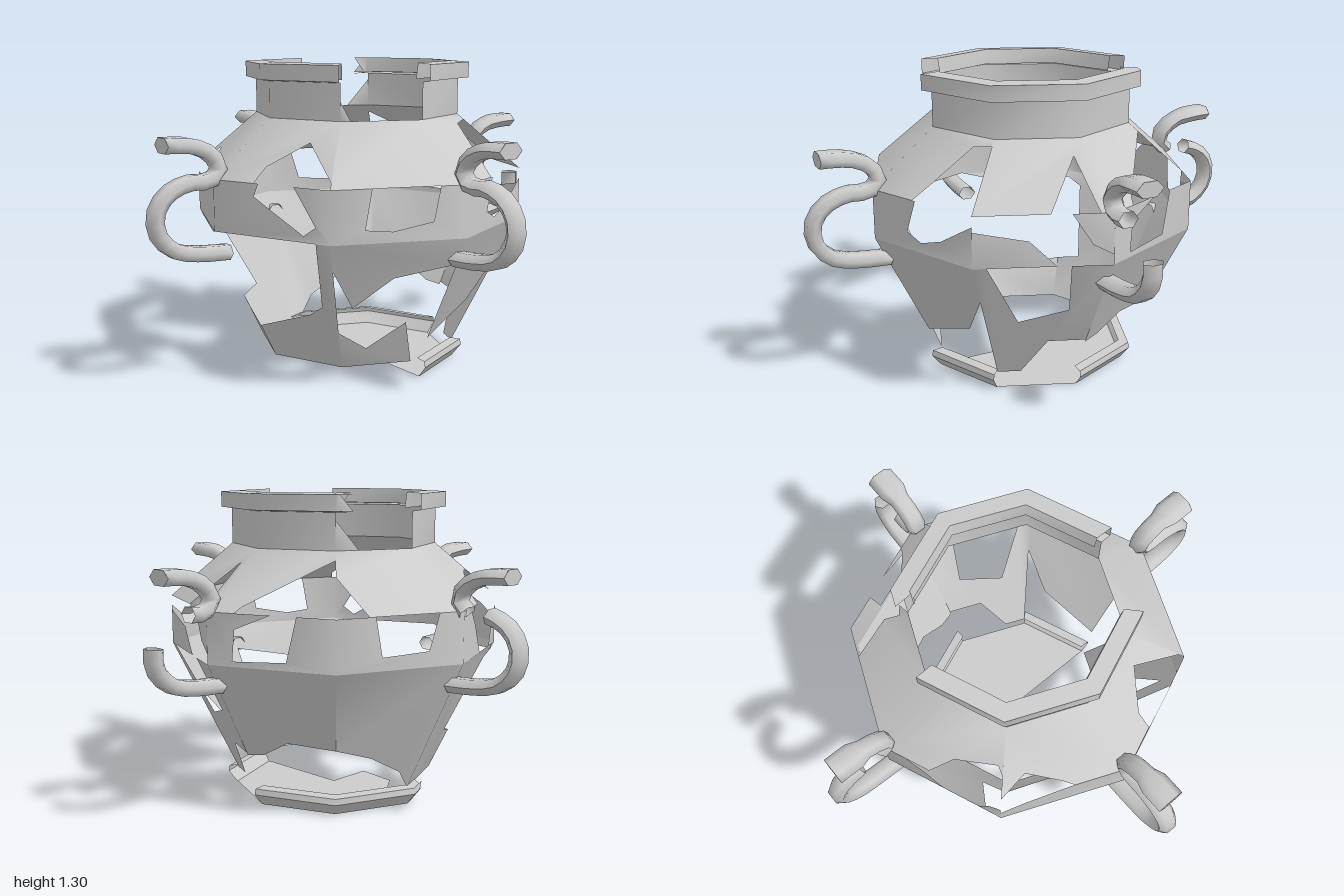
import * as THREE from 'three';
import { mergeVertices } from 'three/addons/utils/BufferGeometryUtils.js';

const material = new THREE.MeshStandardMaterial({ color: 0xcccccc, side: THREE.DoubleSide });
const FULL = [[0, 0, 1, 0, 1, 1, 0, 1]];

// Point on an eight-sided ring; u counts corners from the front (+z) towards +x.
function ringPoint(u, r, y) {
  const k = Math.floor(u), s = u - k;
  const a = (k * Math.PI) / 4, b = ((k + 1) * Math.PI) / 4;
  return [
    r * (Math.sin(a) * (1 - s) + Math.sin(b) * s), y,
    r * (Math.cos(a) * (1 - s) + Math.cos(b) * s)];
}

// A band between two rings. facets[k] lists the surviving pieces of facet k,
// each an outline of (across, up) pairs from 0 to 1.
function band(name, [r0, y0], [r1, y1], facets) {
  const pos = [], index = [];
  facets.forEach((pieces, k) => pieces.forEach((flat) => {
    const pts = [];
    for (let i = 0; i < flat.length; i += 2) pts.push(new THREE.Vector2(flat[i], flat[i + 1]));
    const base = pos.length / 3;
    for (const p of pts) {
      const u = k + Math.min(p.x, 0.99999);
      pos.push(...ringPoint(u, r0 + (r1 - r0) * p.y, y0 + (y1 - y0) * p.y));
    }
    for (const f of THREE.ShapeUtils.triangulateShape(pts, [])) index.push(...f.map((i) => i + base));
  }));
  let g = new THREE.BufferGeometry();
  g.setAttribute('position', new THREE.Float32BufferAttribute(pos, 3));
  g.setIndex(index);
  g = mergeVertices(g, 1e-4);
  g.computeVertexNormals();
  const mesh = new THREE.Mesh(g, material);
  mesh.name = name;
  return mesh;
}

// Broken outlines of the three belly bands, facet by facet
const lower = [
  [[0, 0, 1, 0, 1, 1, 0.88, 1, 0.85, 0.5, 0.7, 0.42, 0, 0.25]],
  [[0, 0, 0.9, 0, 0.7, 0.35, 0.3, 0.15, 0, 0.3],
    [0, 1, 0, 0.8, 0.15, 0.5, 0.5, 0.72, 1, 0.8, 1, 1]],
  [[0, 0.2, 0.75, 0.38, 1, 0.7, 1, 1, 0, 1]],
  [[0, 0, 0.3, 0, 0.6, 0.3, 1, 0.3, 1, 1, 0.7, 1, 0.75, 0.6, 0.3, 0.5, 0.1, 1, 0, 1]],
  [[0, 0.28, 0.2, 0.3, 0.5, 0.42, 1, 0.4, 1, 1, 0, 1]],
  [[0, 0.4, 0.4, 0.3, 0.8, 0.15, 1, 0, 1, 1, 0, 1]],
  [[0, 0, 1, 0, 1, 0.3, 0.7, 0.35, 0.85, 0.9, 1, 0.95, 1, 1, 0, 1]],
  [[0, 0, 1, 0, 1, 0.25, 0.2, 0.28, 0, 0.3], [0, 1, 0, 0.95, 0.6, 0.92, 1, 1]],
];
const middle = [
  [[0, 0, 1, 0, 1, 1, 0.7, 1, 0.88, 0.3, 0.78, 0.12, 0.36, 0.75, 0.4, 1, 0, 1]],
  [[0, 0, 1, 0, 1, 1, 0.8, 1, 0.75, 0.35, 0.45, 0.2, 0.25, 0.25, 0.3, 1, 0, 1]],
  [[0, 0, 1, 0, 1, 0.8, 0.7, 0.35, 0.5, 0.2, 0.36, 0.35, 0.45, 1, 0, 1]],
  [[0, 0, 0.6, 0, 0.4, 0.5, 0, 0.7], [0.7, 1, 0.85, 0.4, 1, 0.2, 1, 1]],
  [[0, 0, 1, 0, 1, 1, 0.7, 1, 0.62, 0.15, 0.2, 0.1, 0.22, 0.7, 0.5, 1, 0, 1]],
  [[0, 0, 1, 0, 1, 1, 0.8, 1, 0.72, 0.3, 0.35, 0.25, 0.3, 1, 0, 1]],
  [[0, 0, 0.5, 0, 0.35, 0.6, 0.2, 1, 0, 1], [0.8, 0, 1, 0, 1, 0.8, 0.9, 0.6]],
  [[0, 0, 1, 0, 1, 1, 0.55, 1, 0.2, 0.75, 0, 0.5]],
];
const shoulder = [
  [[0, 0, 0.36, 0, 0.38, 0.25, 0.7, 0.65, 1, 0.1, 1, 1, 0, 1]],
  FULL,
  [[0, 0, 0.42, 0, 0.5, 0.25, 0.75, 0.85, 1, 0.9, 1, 1, 0, 1]],
  [[0, 0, 0.55, 0, 0.85, 0.75, 0.9, 0, 1, 0, 1, 1, 0, 1]],
  [[0, 0, 0.22, 0, 0.25, 0.1, 1, 0.85, 1, 1, 0, 1]],
  [[0, 0.6, 0.25, 0, 1, 0, 1, 1, 0, 1]],
  [[0, 0, 0.4, 0, 0.55, 0.3, 0.95, 0.5, 1, 0.4, 1, 1, 0, 1]],
  [[0, 0.1, 0.2, 0.35, 0.5, 0.1, 0.58, 0, 1, 0, 1, 1, 0, 1]],
];

// S-shaped handle in the xy plane: curled tip, pinch at the shoulder, loop to the belly
const handlePath = new THREE.CatmullRomCurve3([
  [0.93, 1.0], [0.83, 0.995], [0.74, 0.965], [0.685, 0.9], [0.72, 0.85], [0.83, 0.845],
  [0.92, 0.805], [0.965, 0.735], [0.955, 0.65], [0.89, 0.585], [0.79, 0.56], [0.65, 0.55],
].map(([x, y]) => new THREE.Vector3(x, y, 0)));

function handlePiece(from, to) {
  const pts = [], n = Math.max(4, Math.round((to - from) * 22));
  for (let i = 0; i <= n; i++) pts.push(handlePath.getPointAt(from + ((to - from) * i) / n));
  const g = new THREE.TubeGeometry(new THREE.CatmullRomCurve3(pts), n, 0.035, 6);
  // Widen the curled tip
  const p = g.attributes.position;
  for (let i = 0; i < p.count; i++) {
    const wide = p.getY(i) > 0.95 && p.getX(i) > 0.8;
    p.setZ(i, p.getZ(i) * (wide ? 1.7 : 1.25));
  }
  g.computeVertexNormals();
  const mesh = new THREE.Mesh(g, material);
  mesh.name = 'handlePiece';
  // Close the curled end
  if (from === 0) {
    const cap = new THREE.Mesh(new THREE.CircleGeometry(0.035, 6), material);
    cap.name = 'handleTip';
    cap.scale.y = 1.7;
    cap.rotation.set(0, Math.PI / 2, 0);
    cap.scale.set(1.7, 1, 1);
    cap.position.set(0.93, 1.0, 0);
    mesh.add(cap);
  }
  return mesh;
}

export function createModel() {
  const pot = new THREE.Group();
  pot.name = 'brokenPot';

  // Belly
  pot.add(band('lowerBelly', [0.43, 0.07], [0.71, 0.64], lower));
  pot.add(band('middleBelly', [0.71, 0.64], [0.71, 0.85], middle));
  pot.add(band('shoulder', [0.71, 0.85], [0.44, 1.08], shoulder));

  // Neck and rim, with two opposite facets broken away
  const neck = Array(8).fill(FULL);
  neck[1] = [[0, 0, 0.12, 0, 0, 0.5]];
  neck[5] = [[0, 0, 0.3, 0, 0, 0.8]];
  pot.add(band('neck', [0.44, 1.08], [0.44, 1.23], neck));
  const rimFacets = Array(8).fill(FULL);
  rimFacets[1] = [];
  rimFacets[5] = [[0, 0, 0.2, 0, 0.05, 1, 0, 1]];
  const rim = [[0.44, 1.23], [0.485, 1.235], [0.485, 1.3], [0.41, 1.305], [0.4, 1.24]];
  for (let i = 1; i < rim.length; i++) pot.add(band('rim', rim[i - 1], rim[i], rimFacets));

  // Foot ring, left only at the back and on one side
  const foot = [[], [], FULL, [], FULL, FULL, [[0, 0, 0.2, 0, 0.3, 1, 0, 1]], []];
  const footProfile = [[0.435, 0], [0.475, 0.05], [0.47, 0.075], [0.425, 0.08]];
  for (let i = 1; i < footProfile.length; i++) {
    pot.add(band('foot', footProfile[i - 1], footProfile[i], foot));
  }

  // Floor: the back half and a splinter reaching forward
  const floorShape = new THREE.Shape();
  for (let u = 2; u <= 6; u++) {
    const [x, , z] = ringPoint(u, 0.435, 0);
    floorShape.lineTo(x, -z);
  }
  floorShape.lineTo(-0.25, -0.08).lineTo(-0.18, -0.18).lineTo(0, -0.2).lineTo(0, 0);
  const floor = new THREE.Mesh(new THREE.ShapeGeometry(floorShape), material);
  floor.name = 'floor';
  floor.rotation.x = -Math.PI / 2;
  floor.position.y = 0.002;
  pot.add(floor);

  // Four handles; the back and right-hand ones are snapped
  const spans = { left: [[0, 1]], front: [[0, 1]], back: [[0, 0.4], [0.6, 1]], right: [[0, 0.33], [0.43, 1]] };
  const turn = { left: 0, back: Math.PI / 2, right: Math.PI, front: -Math.PI / 2 };
  for (const side in spans) {
    const handle = new THREE.Group();
    handle.name = side + 'Handle';
    for (const [a, b] of spans[side]) handle.add(handlePiece(a, b));
    handle.rotation.y = turn[side];
    pot.add(handle);
  }
  return pot;
}
